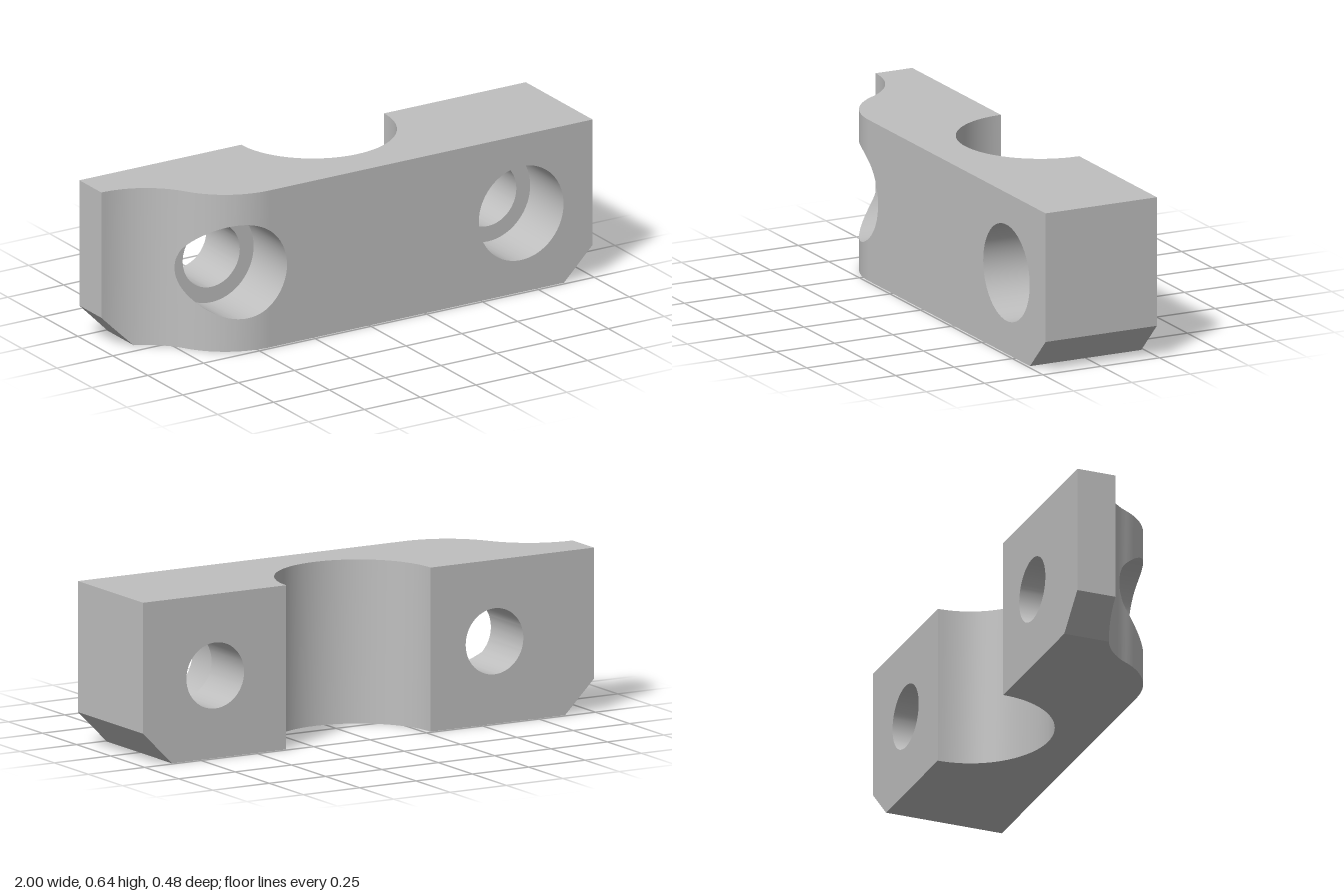
import * as THREE from 'three';
import { toCreasedNormals } from 'three/addons/utils/BufferGeometryUtils.js';

const H = 0.636, D = 0.2385, R = 0.32, CHAMFER = 0.128;
const GROOVE_X = 0.045, SEAT_Z = 0, HOLE_Y = 0.32;
const BORE = 0.128, COUNTERBORE = 0.19, HOLES = [-0.559, 0.68];
const ARC_END = -1 + R * Math.sqrt(3), ARC_MID = (ARC_END - 1) / 2;

// half chord of a circle at a distance from its centre
const chord = (r, d) => Math.sqrt(Math.max(0, r * r - d * d));

// S-curved front outline, grooved back outline, chamfered underside
const frontZ = x => x < ARC_MID ? D - chord(R, x + 1)
  : x < ARC_END ? D - R + chord(R, x - ARC_END) : D;
const backZ = x => -D + chord(R, x - GROOVE_X);
const bottomY = x => Math.max(0, CHAMFER - (1 - Math.abs(x)));

// every x station needed by the arcs and the holes
function stations() {
  const xs = [-1, 1, -1 + CHAMFER, 1 - CHAMFER, ARC_MID, ARC_END];
  const arc = (cx, r, from, to, n) => {
    for (let i = 0; i <= n; i++) xs.push(cx + r * Math.cos(from + (to - from) * i / n));
  };
  arc(-1, R, Math.PI / 2, Math.PI / 6, 16);
  arc(ARC_END, R, Math.PI / 2, Math.PI * 5 / 6, 16);
  arc(GROOVE_X, R, 0, Math.PI, 40);
  for (const c of HOLES) for (const r of [BORE, COUNTERBORE]) arc(c, r, 0, Math.PI, 28);
  xs.sort((a, b) => a - b);
  return xs.filter((x, i) => i === 0 || x - xs[i - 1] > 1e-5);
}

export function createModel() {
  const group = new THREE.Group();
  group.name = 'clampBlock';
  const grey = new THREE.MeshStandardMaterial({ color: 0xbfbfbf });
  grey.name = 'grey';

  const parts = {};
  const quad = (part, a, b, c, d) => {
    (parts[part] ??= []).push(...a, ...b, ...c, ...a, ...c, ...d);
  };
  // face towards +z (or -z when flipped) between two height functions
  const upright = (part, x0, x1, low, high, z, flip) => {
    const p = [[x0, low(x0), z(x0)], [x1, low(x1), z(x1)], [x1, high(x1), z(x1)], [x0, high(x0), z(x0)]];
    quad(part, ...(flip ? p.reverse() : p));
  };
  // face towards -y (or +y when flipped) between two depth functions
  const level = (part, x0, x1, y, rear, fore, flip) => {
    const p = [[x0, y(x0), rear(x0)], [x1, y(x1), rear(x1)], [x1, y(x1), fore(x1)], [x0, y(x0), fore(x0)]];
    quad(part, ...(flip ? p.reverse() : p));
  };
  const top = () => H, seat = () => SEAT_Z;

  const xs = stations();
  for (let i = 0; i < xs.length - 1; i++) {
    const x0 = xs[i], x1 = xs[i + 1], mid = (x0 + x1) / 2;
    level('topFace', x0, x1, top, backZ, frontZ, true);
    level('underside', x0, x1, bottomY, backZ, frontZ, false);

    const c = HOLES.find(h => Math.abs(mid - h) < COUNTERBORE);
    const above = r => x => HOLE_Y + chord(r, x - c);
    const below = r => x => HOLE_Y - chord(r, x - c);

    // front and back faces, split around the holes
    for (const [part, r, z, flip] of [['frontFace', COUNTERBORE, frontZ, false], ['backFace', BORE, backZ, true]]) {
      if (c !== undefined && Math.abs(mid - c) < r) {
        upright(part, x0, x1, bottomY, below(r), z, flip);
        upright(part, x0, x1, above(r), top, z, flip);
      } else upright(part, x0, x1, bottomY, top, z, flip);
    }
    if (c === undefined) continue;

    // counterbore wall and its ring-shaped seat
    level('counterbores', x0, x1, above(COUNTERBORE), seat, frontZ, false);
    level('counterbores', x0, x1, below(COUNTERBORE), seat, frontZ, true);
    upright('boltSeats', x0, x1, below(COUNTERBORE), below(BORE), seat, false);
    upright('boltSeats', x0, x1, above(BORE), above(COUNTERBORE), seat, false);
    // narrow bore through to the back
    if (Math.abs(mid - c) < BORE) {
      level('bores', x0, x1, above(BORE), backZ, seat, false);
      level('bores', x0, x1, below(BORE), backZ, seat, true);
    }
  }

  // flat ends
  for (const x of [-1, 1]) {
    const f = frontZ(x), b = backZ(x);
    const p = [[x, CHAMFER, f], [x, CHAMFER, b], [x, H, b], [x, H, f]];
    quad(x > 0 ? 'leftEnd' : 'rightEnd', ...(x > 0 ? p : p.reverse()));
  }

  for (const [name, points] of Object.entries(parts)) {
    const geometry = new THREE.BufferGeometry();
    geometry.setAttribute('position', new THREE.Float32BufferAttribute(points, 3));
    const mesh = new THREE.Mesh(toCreasedNormals(geometry, 0.6), grey);
    mesh.name = name;
    group.add(mesh);
  }
  return group;
}
